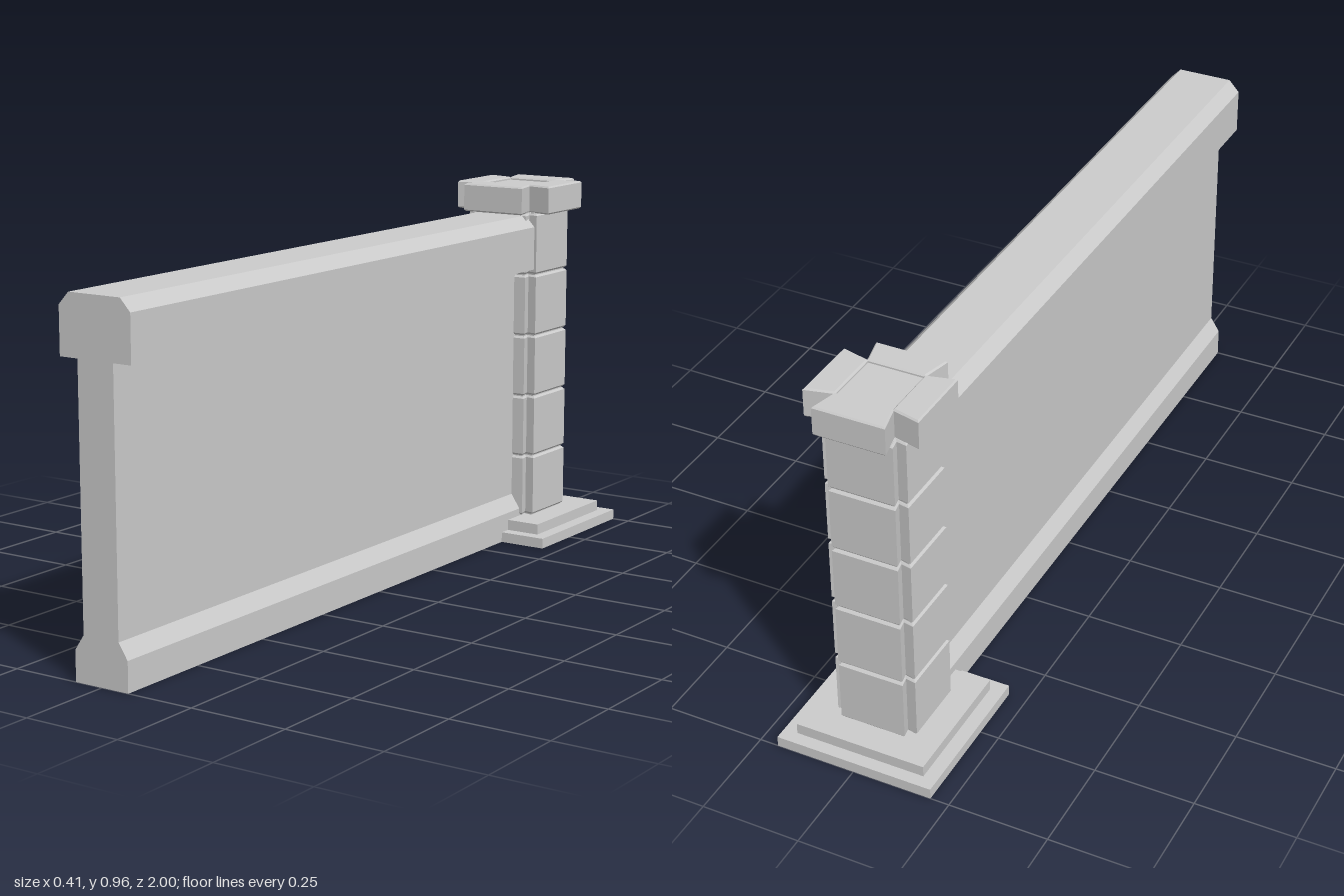
import * as THREE from 'three';

const mat = new THREE.MeshStandardMaterial({ color: 0xcccccc, flatShading: true });
const PILLAR_Z = -0.8;

function add(parent, name, geometry, x = 0, y = 0, z = 0) {
  const mesh = new THREE.Mesh(geometry, mat);
  mesh.name = name;
  mesh.position.set(x, y, z);
  parent.add(mesh);
  return mesh;
}

function polygon(points) {
  return new THREE.Shape(points.map(([x, y]) => new THREE.Vector2(x, y)));
}

// Upright slab with its bottom at y = 0 and small chamfers inside its outline
function slab(shape, height, bevel) {
  const geometry = new THREE.ExtrudeGeometry(shape, {
    depth: height - 2 * bevel, bevelEnabled: true, bevelSegments: 1,
    bevelThickness: bevel, bevelSize: bevel, bevelOffset: -bevel,
  });
  geometry.translate(0, 0, bevel);
  return geometry.rotateX(-Math.PI / 2);
}

// Cross with short arms, leaving a narrow notch at each corner
function crossShape(reach, half, inner) {
  const points = [];
  for (let i = 0; i < 4; i++) {
    const c = Math.round(Math.cos(i * Math.PI / 2)), s = Math.round(Math.sin(i * Math.PI / 2));
    for (const [x, y] of [[reach, -half], [reach, half], [inner, inner]]) {
      points.push([x * c - y * s, x * s + y * c]);
    }
  }
  return polygon(points);
}

function createWall() {
  // Half profile: wide foot, thin panel, chamfered top rail
  const half = [[0.075, 0], [0.075, 0.075], [0.05, 0.113], [0.05, 0.737],
    [0.1, 0.737], [0.1, 0.852], [0.072, 0.882]];
  const mirrored = half.map(([x, y]) => [-x, y]).reverse();
  const geometry = new THREE.ExtrudeGeometry(polygon([...half, ...mirrored]),
    { depth: 1.71, bevelEnabled: false });
  const group = new THREE.Group();
  group.name = 'wall';
  add(group, 'wallPanelWithRail', geometry, 0, 0, -0.71);
  return group;
}

function createPillar() {
  const group = new THREE.Group();
  group.name = 'pillar';
  group.position.z = PILLAR_Z;

  // Stepped base
  add(group, 'lowerStep', new THREE.BoxGeometry(0.405, 0.027, 0.4), 0, 0.0135, 0);
  add(group, 'upperStep', new THREE.BoxGeometry(0.335, 0.028, 0.335), 0, 0.041, 0);

  // Five stacked blocks around a slightly narrower core
  add(group, 'pillarCore', slab(crossShape(0.098, 0.078, 0.072), 0.835, 0.001), 0, 0.054, 0.003);
  const block = slab(crossShape(0.105, 0.084, 0.079), 0.163, 0.005);
  for (let i = 0; i < 5; i++) {
    add(group, 'pillarBlock' + (i + 1), block, 0, 0.058 + i * 0.1665, 0.003);
  }

  // Cap: four flared blocks around a sunken centre
  const cap = new THREE.Group();
  cap.name = 'cap';
  cap.position.y = 0.888;
  group.add(cap);
  add(cap, 'capCentre', new THREE.BoxGeometry(0.146, 0.067, 0.146), 0, 0.0335, 0);
  const arm = slab(polygon([[-0.073, 0.07], [0.073, 0.07], [0.09, 0.142], [-0.09, 0.142]]), 0.075, 0.004);
  for (let i = 0; i < 4; i++) {
    add(cap, 'capBlock' + (i + 1), arm).rotation.y = i * Math.PI / 2;
  }
  return group;
}

export function createModel() {
  const model = new THREE.Group();
  model.name = 'wallWithPillar';
  model.add(createWall(), createPillar());
  return model;
}
